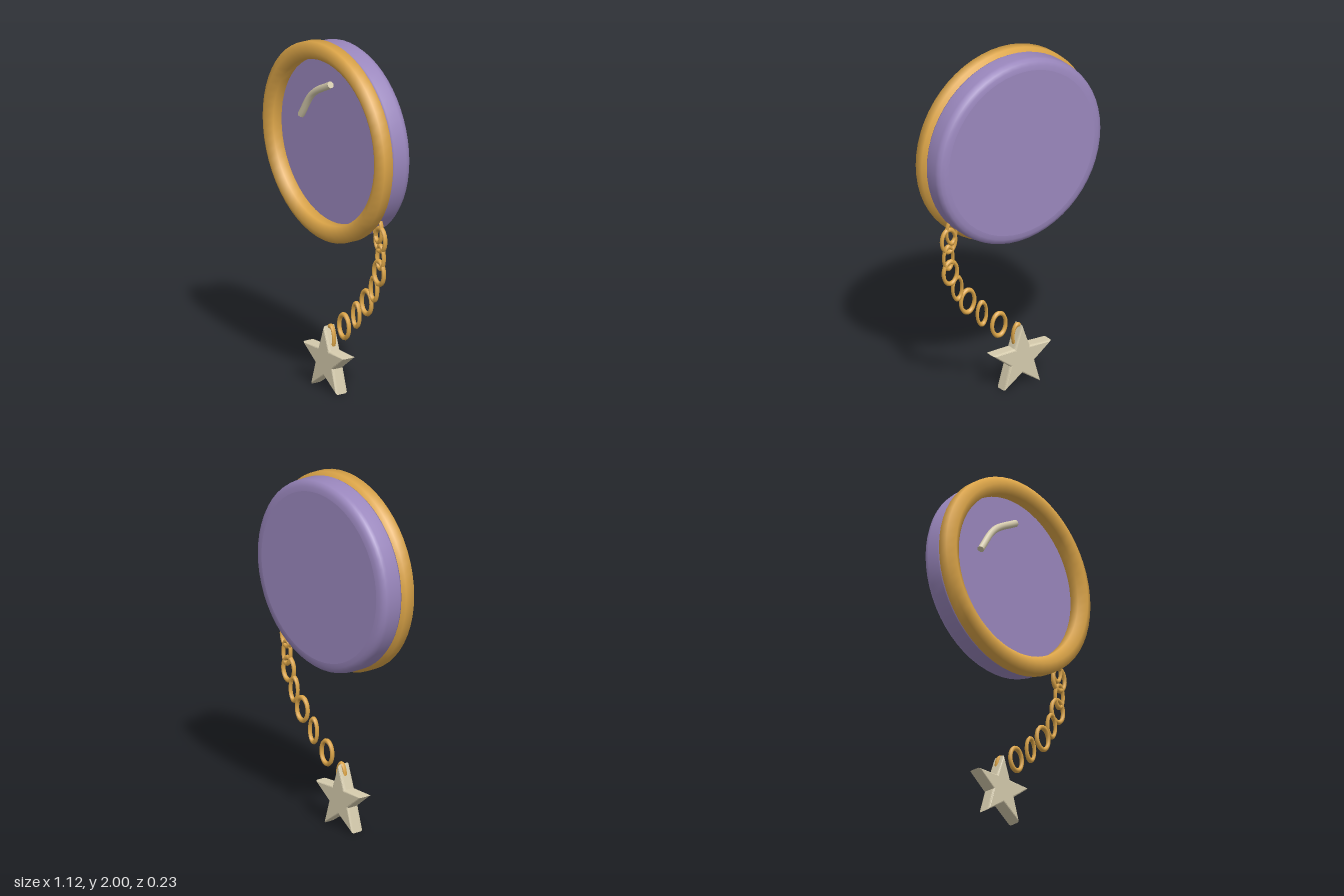
import * as THREE from 'three';

const V2 = (x, y) => new THREE.Vector2(x, y);

export function createModel() {
  const model = new THREE.Group();
  model.name = 'charmMirror';

  const gold = new THREE.MeshStandardMaterial({ name: 'gold', color: 0xdca548 });
  const purple = new THREE.MeshStandardMaterial({ name: 'purple', color: 0x9a87bd });
  const cream = new THREE.MeshStandardMaterial({ name: 'cream', color: 0xd5cbad });

  const add = (name, geometry, material, x = 0, y = 0, z = 0, parent = model) => {
    const mesh = new THREE.Mesh(geometry, material);
    mesh.name = name;
    mesh.position.set(x, y, z);
    parent.add(mesh);
    return mesh;
  };

  // Lathe around the z axis from [radius, z] pairs
  const discLathe = (pairs) =>
    new THREE.LatheGeometry(pairs.map(([r, z]) => V2(r, z)), 56).rotateX(Math.PI / 2);

  const cy = 1.443;

  // Case: rounded rim, with flat faces as separate discs
  add('caseRim', discLathe([
    [0.48, -0.117], [0.505, -0.114], [0.525, -0.105], [0.537, -0.09],
    [0.541, -0.07], [0.541, 0.005], [0.535, 0.016], [0.5, 0.025],
  ]), purple, 0, cy);
  add('caseBack', new THREE.CircleGeometry(0.48, 56).rotateY(Math.PI), purple, 0, cy, -0.117);
  add('mirrorFace', new THREE.CircleGeometry(0.5, 56), purple, 0, cy, 0.025);

  // Frame ring with a six-sided section
  const section = [];
  for (let i = 0; i <= 6; i++) {
    const a = Math.PI / 2 + (i * Math.PI) / 3;
    section.push([0.511 - 0.056 * Math.cos(a), 0.058 - 0.056 * Math.sin(a)]);
  }
  // order the section so that faces point outward
  section.reverse();
  const ring = discLathe(section.reverse());
  orientOutward(ring, 0.511, 0.058);
  add('frameRing', ring, gold, 0, cy);

  // Shine stroke on the mirror, with closed ends
  const curve = new THREE.CatmullRomCurve3([
    [-0.256, 1.525], [-0.15, 1.675], [0.015, 1.77],
  ].map(([x, y]) => new THREE.Vector3(x, y, 0.05)));
  const shine = new THREE.Group();
  shine.name = 'shine';
  model.add(shine);
  add('shineStroke', new THREE.TubeGeometry(curve, 20, 0.02, 8, false), cream, 0, 0, 0, shine);
  for (const t of [0, 1]) {
    const cap = add('shineEnd', new THREE.CircleGeometry(0.02, 8), cream, 0, 0, 0, shine);
    cap.position.copy(curve.getPoint(t));
    const dir = curve.getTangent(t).multiplyScalar(t ? 1 : -1);
    cap.quaternion.setFromUnitVectors(new THREE.Vector3(0, 0, 1), dir);
  }

  // Chain: alternating narrow and wide oval links
  const chain = new THREE.Group();
  chain.name = 'chain';
  model.add(chain);
  const linkGeometry = new THREE.TorusGeometry(0.066, 0.014, 8, 24);
  [
    [0.385, 1.028], [0.402, 0.98], [0.404, 0.88], [0.39, 0.787], [0.344, 0.683],
    [0.276, 0.587], [0.182, 0.489], [0.07, 0.393], [-0.052, 0.295],
  ].forEach(([x, y], i) => {
    const link = add('chainLink', linkGeometry, gold, x, y, 0, chain);
    link.scale.x = i % 2 ? 0.68 : 0.46;
  });

  // Star charm
  const star = new THREE.Shape();
  for (let i = 0; i < 10; i++) {
    const r = i % 2 ? 0.072 : 0.187;
    const a = Math.PI / 2 + (i * Math.PI) / 5;
    star[i ? 'lineTo' : 'moveTo'](r * Math.cos(a), r * Math.sin(a));
  }
  star.closePath();
  const starGeometry = new THREE.ExtrudeGeometry(star, {
    depth: 0.046, bevelEnabled: true, bevelThickness: 0.015, bevelSize: 0.01, bevelSegments: 3,
  });
  add('starCharm', starGeometry, cream, -0.064, 0.163, -0.02);

  return model;
}

// Flip the faces of a ring if they point towards its section centre
function orientOutward(geometry, radius, z) {
  const p = geometry.attributes.position;
  const index = geometry.index.array;
  const [a, b, c] = [0, 1, 2].map((i) => new THREE.Vector3().fromBufferAttribute(p, index[i]));
  const mid = a.clone().add(b).add(c).divideScalar(3);
  const core = new THREE.Vector3(mid.x, mid.y, 0).setLength(radius).setZ(z);
  const normal = b.sub(a).cross(c.sub(a));
  if (normal.dot(mid.sub(core)) < 0) {
    for (let i = 0; i < index.length; i += 3) {
      [index[i], index[i + 1]] = [index[i + 1], index[i]];
    }
    const n = geometry.attributes.normal;
    for (let i = 0; i < n.array.length; i++) n.array[i] *= -1;
  }
}
